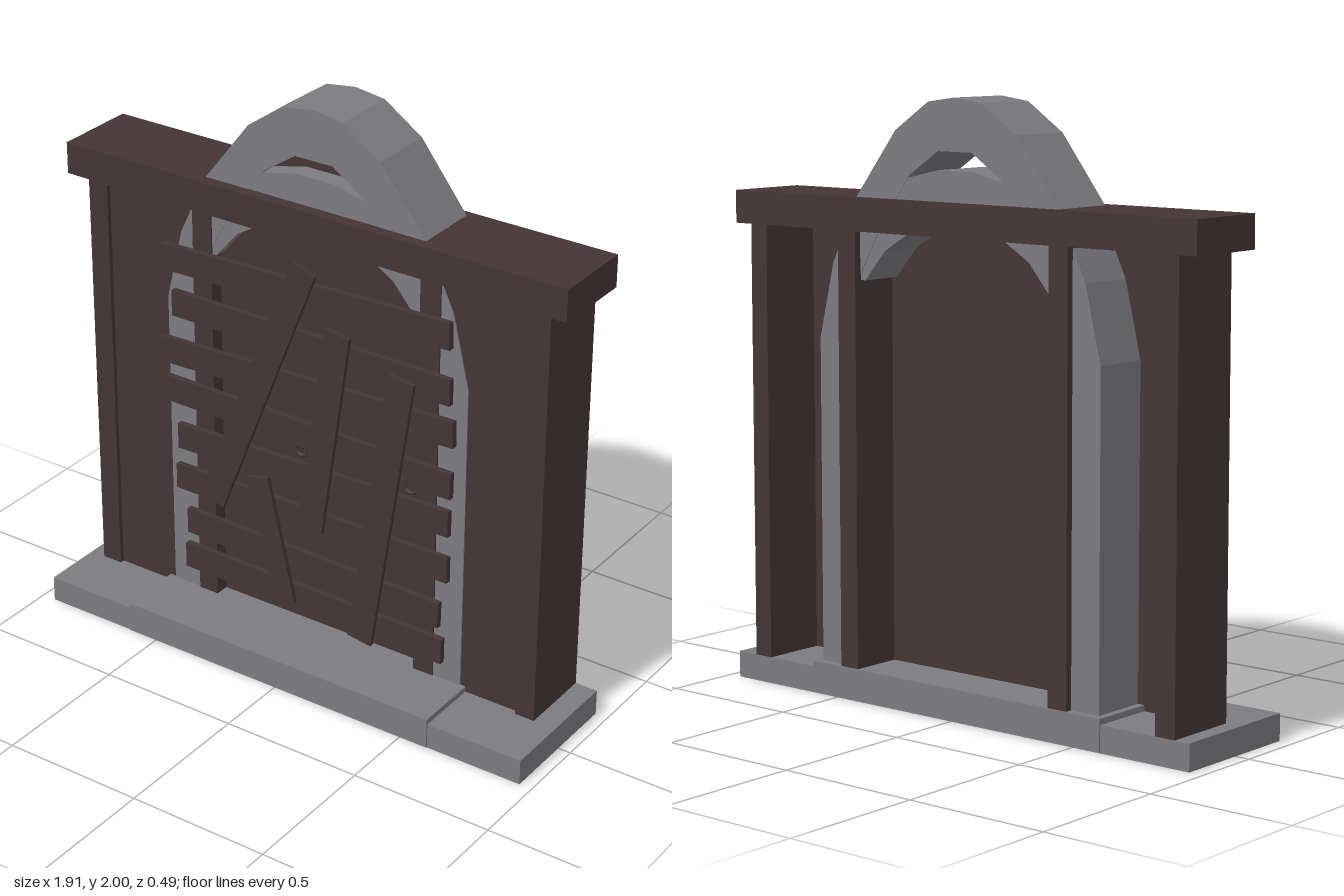
import * as THREE from 'three';

const stone = new THREE.MeshStandardMaterial({ color: 0x7c7b80 });
stone.name = 'grey stone';
const wood = new THREE.MeshStandardMaterial({ color: 0x443536 });
wood.name = 'dark wood';

// Box given by its extents on each axis
function block(parent, name, material, [x0, x1], [y0, y1], [z0, z1]) {
  const mesh = new THREE.Mesh(new THREE.BoxGeometry(x1 - x0, y1 - y0, z1 - z0), material);
  mesh.position.set((x0 + x1) / 2, (y0 + y1) / 2, (z0 + z1) / 2);
  mesh.name = name;
  parent.add(mesh);
  return mesh;
}

// Board running between two points in the front plane
function board(parent, name, [ax, ay], [bx, by], width, z0, z1) {
  const length = Math.hypot(bx - ax, by - ay);
  const mesh = new THREE.Mesh(new THREE.BoxGeometry(length, width, z1 - z0), wood);
  mesh.position.set((ax + bx) / 2, (ay + by) / 2, (z0 + z1) / 2);
  mesh.rotation.z = Math.atan2(by - ay, bx - ax);
  mesh.name = name;
  parent.add(mesh);
}

const polygon = (points) => new THREE.Shape(points.map(([x, y]) => new THREE.Vector2(x, y)));

// Ring of wedge stones between an outer and an inner half profile, mirrored
function stoneRing(parent, name, outer, inner, z0, z1) {
  const mirror = (pts) => [...pts, ...pts.map(([x, y]) => [-x, y]).reverse()];
  const o = mirror(outer), n = mirror(inner);
  for (let i = 0; i < o.length - 1; i++) {
    const shape = polygon([o[i], o[i + 1], n[i + 1], n[i]]);
    const geometry = new THREE.ExtrudeGeometry(shape, { depth: z1 - z0, bevelEnabled: false });
    const mesh = new THREE.Mesh(geometry, stone);
    mesh.position.z = z0;
    mesh.name = name;
    parent.add(mesh);
  }
}

export function createModel() {
  const model = new THREE.Group();
  model.name = 'boardedDoorway';

  // Base slab with the raised doorstep
  block(model, 'baseSlab', stone, [-0.95, 0.955], [0, 0.09], [-0.24, 0.24]);
  block(model, 'doorstep', stone, [-0.61, 0.605], [0.002, 0.11], [-0.245, 0.245]);

  // Timber frame
  const frame = new THREE.Group();
  frame.name = 'timberFrame';
  model.add(frame);
  block(frame, 'lintel', wood, [-0.96, 0.945], [1.56, 1.67], [-0.24, 0.055]);
  block(frame, 'rightPost', wood, [-0.895, -0.82], [0.09, 1.56], [-0.24, 0.027]);
  block(frame, 'leftPost', wood, [0.805, 0.875], [0.09, 1.56], [-0.24, 0.027]);
  block(frame, 'rightInnerPost', wood, [-0.475, -0.4], [0.11, 1.56], [-0.24, 0.02]);
  block(frame, 'leftInnerPost', wood, [0.405, 0.48], [0.11, 1.56], [-0.24, 0.02]);
  block(frame, 'rightWallPanel', wood, [-0.82, -0.47], [0.09, 1.56], [-0.015, 0.011]);
  block(frame, 'leftWallPanel', wood, [0.475, 0.805], [0.09, 1.56], [-0.015, 0.011]);

  // Outer arch: straight jambs, then wedge stones to the crown
  const jambY = [0.1, 0.33, 0.55, 0.77, 0.99];
  stoneRing(model, 'outerArchStone',
    [...jambY.map((y) => [-0.585, y]), [-0.585, 1.2], [-0.525, 1.45], [-0.42, 1.67], [-0.25, 1.89], [-0.11, 1.985], [-0.0, 2]],
    [...jambY.map((y) => [-0.46, y]), [-0.46, 1.19], [-0.41, 1.41], [-0.31, 1.59], [-0.19, 1.75], [-0.07, 1.83], [-0.0, 1.83]],
    -0.215, 0.015);

  // Inner arch, leaving a crescent gap under the crown
  stoneRing(model, 'innerArchStone',
    [[-0.415, 1.4], [-0.31, 1.59], [-0.2, 1.74], [-0.07, 1.77]],
    [[-0.385, 1.4], [-0.3, 1.5], [-0.2, 1.56], [-0.07, 1.6]],
    -0.213, 0.013);

  // Wooden backing in the crescent, seen from the front only
  const crescent = new THREE.Mesh(new THREE.ShapeGeometry(polygon([
    [-0.2, 1.74], [-0.07, 1.77], [0.07, 1.77], [0.2, 1.74], [0.19, 1.75], [0.07, 1.83], [-0.07, 1.83], [-0.19, 1.75],
  ])), wood);
  crescent.position.z = -0.05;
  crescent.name = 'crescentPanel';
  model.add(crescent);

  // Door with two ring handles
  block(model, 'door', wood, [-0.405, 0.41], [0.11, 1.6], [-0.06, -0.03]);
  for (const x of [-0.07, 0.36]) {
    const ring = new THREE.Mesh(new THREE.TorusGeometry(0.024, 0.007, 6, 14), wood);
    ring.position.set(x, 0.77, -0.02);
    ring.name = 'doorRing';
    const knob = new THREE.Mesh(new THREE.SphereGeometry(0.014, 8, 6), wood);
    knob.position.set(x, 0.785, -0.02);
    knob.name = 'doorKnob';
    model.add(ring, knob);
  }

  // Crooked boards nailed across: start x, end x, start y, end y
  const boards = new THREE.Group();
  boards.name = 'boards';
  model.add(boards);
  for (const [x0, x1, y0, y1] of [
    [-0.585, 0.53, 1.355, 1.385], [-0.55, 0.535, 1.195, 1.19],
    [-0.597, 0.55, 1.012, 1.045], [-0.577, 0.545, 0.87, 0.857],
    [-0.537, 0.54, 0.7, 0.717], [-0.547, 0.54, 0.542, 0.545],
    [-0.505, 0.51, 0.38, 0.363], [-0.515, 0.525, 0.24, 0.23],
  ]) board(boards, 'crossBoard', [x0, y0], [x1, y1], 0.093, 0.022, 0.043);

  // Slanting boards on top
  for (const [top, bottom, width] of [
    [[-0.01, 1.47], [-0.385, 0.508], 0.093], [[0.12, 1.28], [0.015, 0.532], 0.093],
    [[0.365, 1.19], [0.213, 0.168], 0.093], [[-0.197, 0.655], [-0.09, 0.208], 0.085],
  ]) board(boards, 'slantingBoard', bottom, top, width, 0.043, 0.059);

  return model;
}
